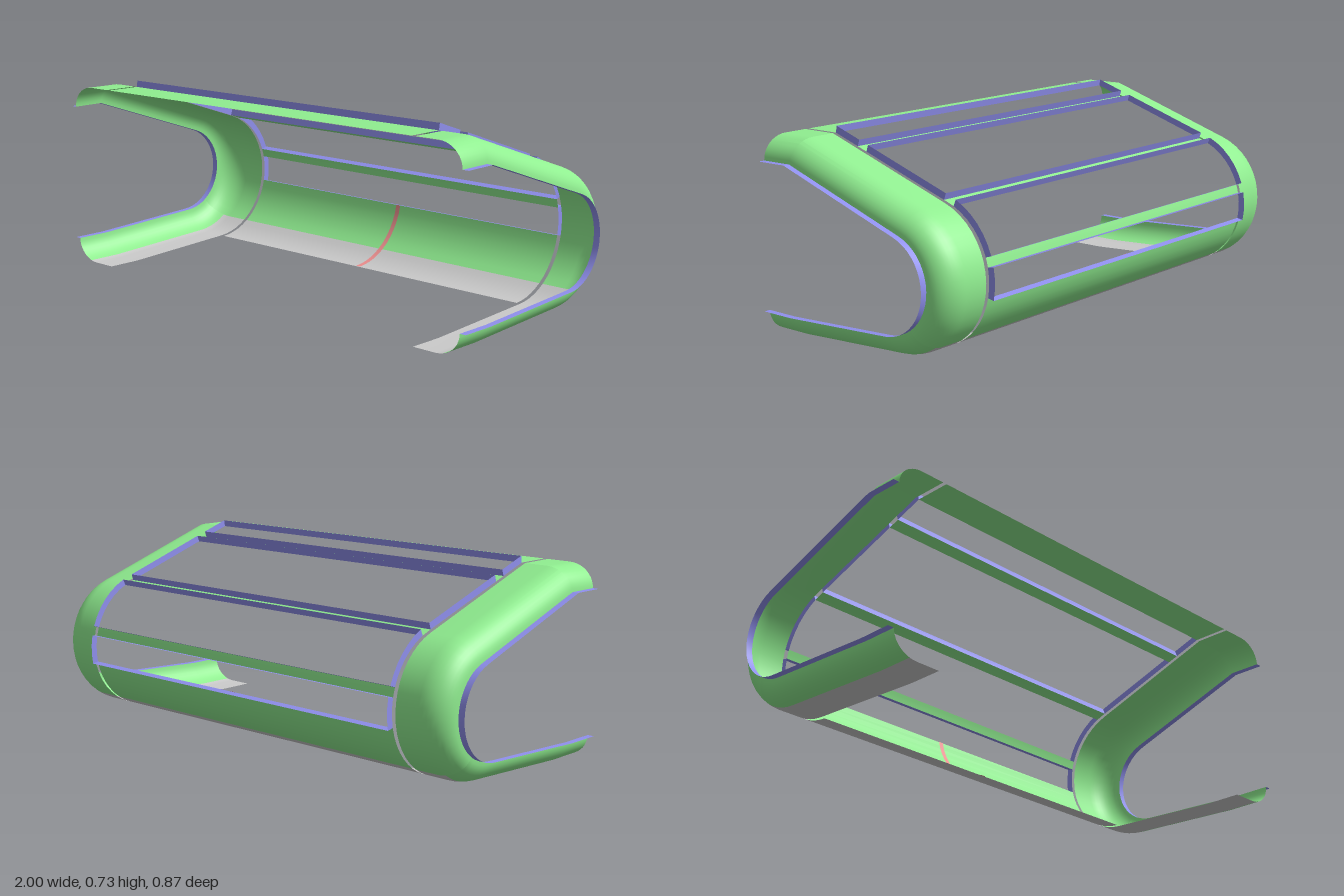
import * as THREE from 'three';
import { toCreasedNormals } from 'three/addons/utils/BufferGeometryUtils.js';

const paint = (color) => new THREE.MeshStandardMaterial({ color, side: THREE.DoubleSide });
const green = paint(0x90ee90), blue = paint(0x9090ee), red = paint(0xee9090), grey = paint(0xcccccc);

// Side profile: stations [z, y, normalZ, normalY]; angles in degrees above the rearward axis
const CZ = -0.15, CY = 0.283, R = 0.26, A_TOP = 71.4, A_BOTTOM = -87.1, A_FLOOR = -55;
const W = 0.765, RIM = 0.025, LIP = 0.085;
const station = (z, y, deg) => {
  const a = THREE.MathUtils.degToRad(deg);
  return [z, y, -Math.cos(a), Math.sin(a)];
};
const onArc = (deg) => {
  const a = THREE.MathUtils.degToRad(deg);
  return station(CZ - R * Math.cos(a), CY + R * Math.sin(a), deg);
};
const arc = (from, to) => {
  const n = Math.max(2, Math.ceil(Math.abs(to - from) / 8));
  return Array.from({ length: n + 1 }, (_, i) => onArc(from + (to - from) * i / n));
};
const kink = station(0.295, 0.707, 80.7);
const tangent = onArc(A_TOP);
const onSlope = (z) => {
  const t = (z - kink[0]) / (tangent[0] - kink[0]);
  return station(z, kink[1] + (tangent[1] - kink[1]) * t, A_TOP);
};
const frontEdge = station(0.435, 0.707, 90);
const floorRun = [...arc(A_FLOOR, A_BOTTOM), station(0.3, 0, -88.6), station(0.435, 0, -90)];
const wallRun = [frontEdge, kink, ...arc(A_TOP, A_FLOOR)];

// Sheet swept along the stations; section is a list of [x, offset along the normal]
function sheet(name, material, stations, section) {
  const pos = [], index = [], m = section.length;
  for (const [z, y, nz, ny] of stations)
    for (const [x, o] of section) pos.push(x, y + ny * o, z + nz * o);
  for (let i = 0; i < stations.length - 1; i++)
    for (let j = 0; j < m - 1; j++) {
      const a = i * m + j, b = a + 1, c = a + m, d = c + 1;
      index.push(a, b, c, b, d, c);
    }
  const geo = new THREE.BufferGeometry();
  geo.setAttribute('position', new THREE.Float32BufferAttribute(pos, 3));
  geo.setIndex(index);
  const mesh = new THREE.Mesh(toCreasedNormals(geo, 0.3), material);
  mesh.name = name;
  return mesh;
}

// Raised rim around a window opening
function windowRim(name, stations) {
  const g = new THREE.Group();
  g.name = name;
  for (const s of [-1, 1])
    g.add(sheet('rimEnd', blue, stations, [[s * W, 0], [s * W, RIM]]));
  for (const [z, y, nz, ny] of [stations[0], stations[stations.length - 1]]) {
    const outer = [z + nz * RIM, y + ny * RIM, nz, ny];
    g.add(sheet('rimEdge', blue, [[z, y, nz, ny], outer], [[-W, 0], [W, 0]]));
  }
  return g;
}

// Rounded end shell with a floor patch and an outer rim
function endShell(side) {
  const g = new THREE.Group();
  g.name = side > 0 ? 'leftEndShell' : 'rightEndShell';
  const round = [];
  for (let i = 0; i <= 10; i++) {
    const a = i / 10 * Math.PI / 2;
    round.push([side * (0.875 + 0.1 * Math.sin(a)), -LIP * (1 - Math.cos(a))]);
  }
  const split = 2; // the flat floor reaches a little way into the rounding
  const flat = [[side * 0.78, 0], ...round.slice(0, split + 1)];
  g.add(sheet('endWall', green, wallRun, [[side * 0.78, 0], ...round]));
  g.add(sheet('floorCorner', green, floorRun, round.slice(split)));
  g.add(sheet('endFloor', grey, floorRun, flat));
  g.add(sheet('endRim', blue, [...wallRun, ...floorRun.slice(1)],
    [[side * 0.975, -LIP], [side, -LIP]]));
  return g;
}

export function createModel() {
  const model = new THREE.Group();
  model.name = 'shell';
  const across = [[-W, 0], [W, 0]];

  // Centre panels and cross bars
  model.add(sheet('topPanel', green, [frontEdge, kink], across));
  model.add(sheet('upperBar', green, [onSlope(0.188), onSlope(0.146)], across));
  model.add(sheet('middleBar', green, [onSlope(-0.214), tangent, onArc(66)], across));
  model.add(sheet('lowerBar', green, arc(19, 11.5), across));
  model.add(sheet('rearPanel', green, arc(-11.5, A_FLOOR), across));
  model.add(sheet('rearFloor', grey, arc(A_FLOOR, A_BOTTOM), across));

  // Seam strip lying on the inside of the rear panel
  model.add(sheet('seam', red, [...arc(-11.5, A_FLOOR), ...arc(A_FLOOR, A_BOTTOM).slice(1)],
    [[-0.01, -0.002], [0.01, -0.002]]));

  // Window rims from the top front to the rear
  model.add(windowRim('frontWindowRim', [kink, onSlope(0.188)]));
  model.add(windowRim('roofWindowRim', [onSlope(0.146), onSlope(-0.214)]));
  model.add(windowRim('curvedWindowRim', arc(66, 19)));
  model.add(windowRim('rearWindowRim', arc(11.5, -11.5)));

  for (const side of [-1, 1]) model.add(endShell(side));
  return model;
}
